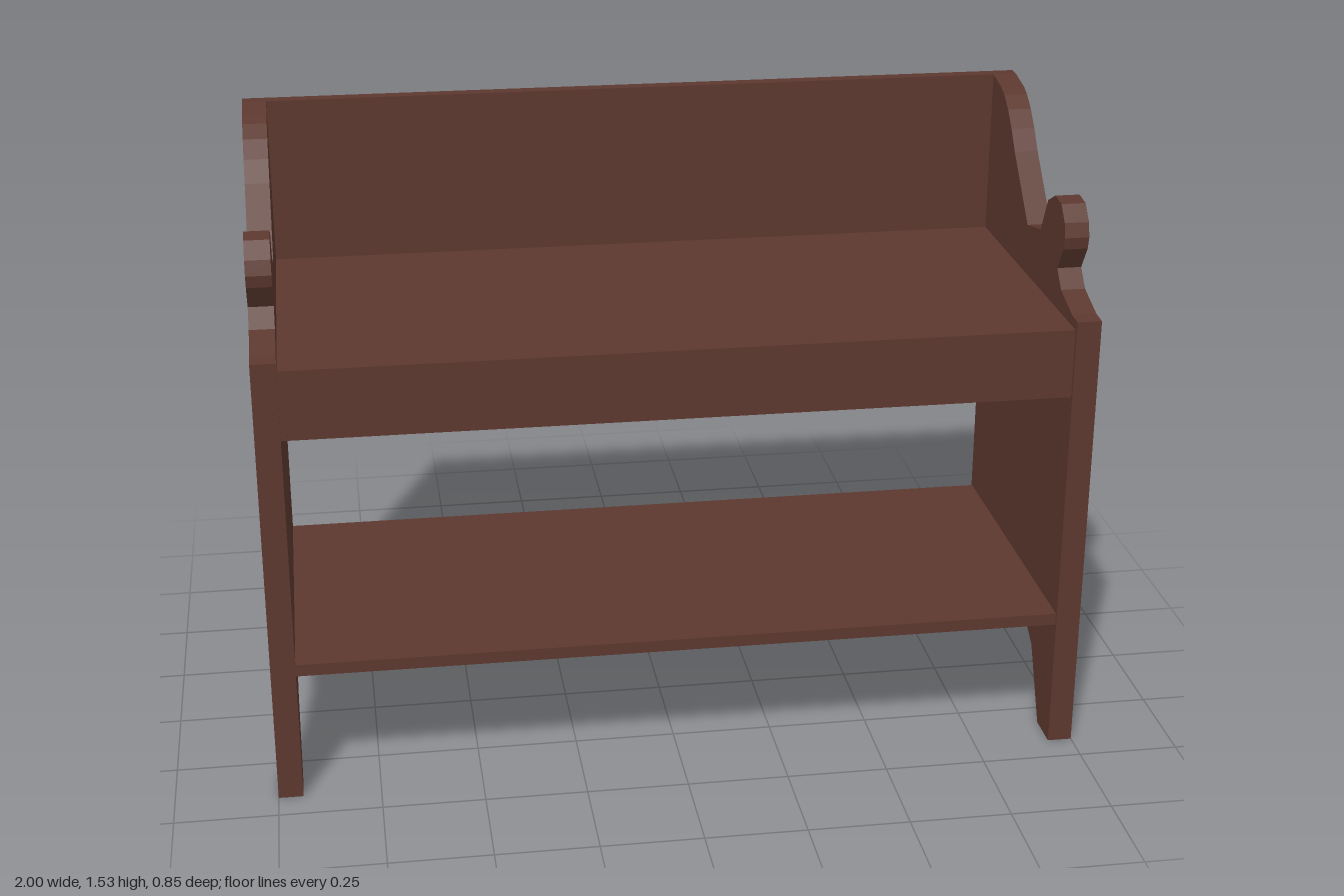
import * as THREE from 'three';

export function createModel() {
  const group = new THREE.Group();
  group.name = 'bench';
  const wood = new THREE.MeshStandardMaterial({ color: 0x5c382f });
  wood.name = 'dark brown wood';

  // Box given by its minimum and maximum corners
  function board(name, [x0, y0, z0], [x1, y1, z1]) {
    const mesh = new THREE.Mesh(new THREE.BoxGeometry(x1 - x0, y1 - y0, z1 - z0), wood);
    mesh.position.set((x0 + x1) / 2, (y0 + y1) / 2, (z0 + z1) / 2);
    mesh.name = name;
    group.add(mesh);
  }

  // Scrolled end panel with an arched foot, outlined as [z, y]
  const outline = [
    [0.42, 0], [0.325, 0], [0.235, 0.18], [0.085, 0.275], [-0.04, 0.27], [-0.105, 0.248],
    [-0.175, 0.18], [-0.29, 0], [-0.39, 0], [-0.39, 1.53], [-0.31, 1.515], [-0.28, 1.503],
    [-0.24, 1.475], [-0.2, 1.435], [-0.16, 1.385], [-0.015, 1.237], [0.095, 1.26],
    [0.14, 1.35], [0.195, 1.378], [0.245, 1.372], [0.28, 1.335], [0.29, 1.3],
    [0.284, 1.27], [0.245, 1.21], [0.285, 1.168], [0.38, 1.138], [0.425, 1.135],
  ];
  const shape = new THREE.Shape(outline.map(([z, y]) => new THREE.Vector2(z, y)));
  const endGeometry = new THREE.ExtrudeGeometry(shape, { depth: 0.06, bevelEnabled: false });
  endGeometry.rotateY(-Math.PI / 2);
  for (const [name, x] of [['leftEndPanel', 1], ['rightEndPanel', -0.94]]) {
    const panel = new THREE.Mesh(endGeometry, wood);
    panel.name = name;
    panel.position.x = x;
    group.add(panel);
  }

  // Boards spanning the two ends
  board('backrest', [-1, 0.94, -0.425], [1, 1.53, -0.39]);
  board('seat', [-0.94, 1.08, -0.39], [0.94, 1.112, 0.415]);
  board('frontApron', [-0.94, 0.94, 0.385], [0.94, 1.08, 0.415]);
  board('lowerShelf', [-0.94, 0.328, -0.385], [0.94, 0.358, 0.415]);

  return group;
}
